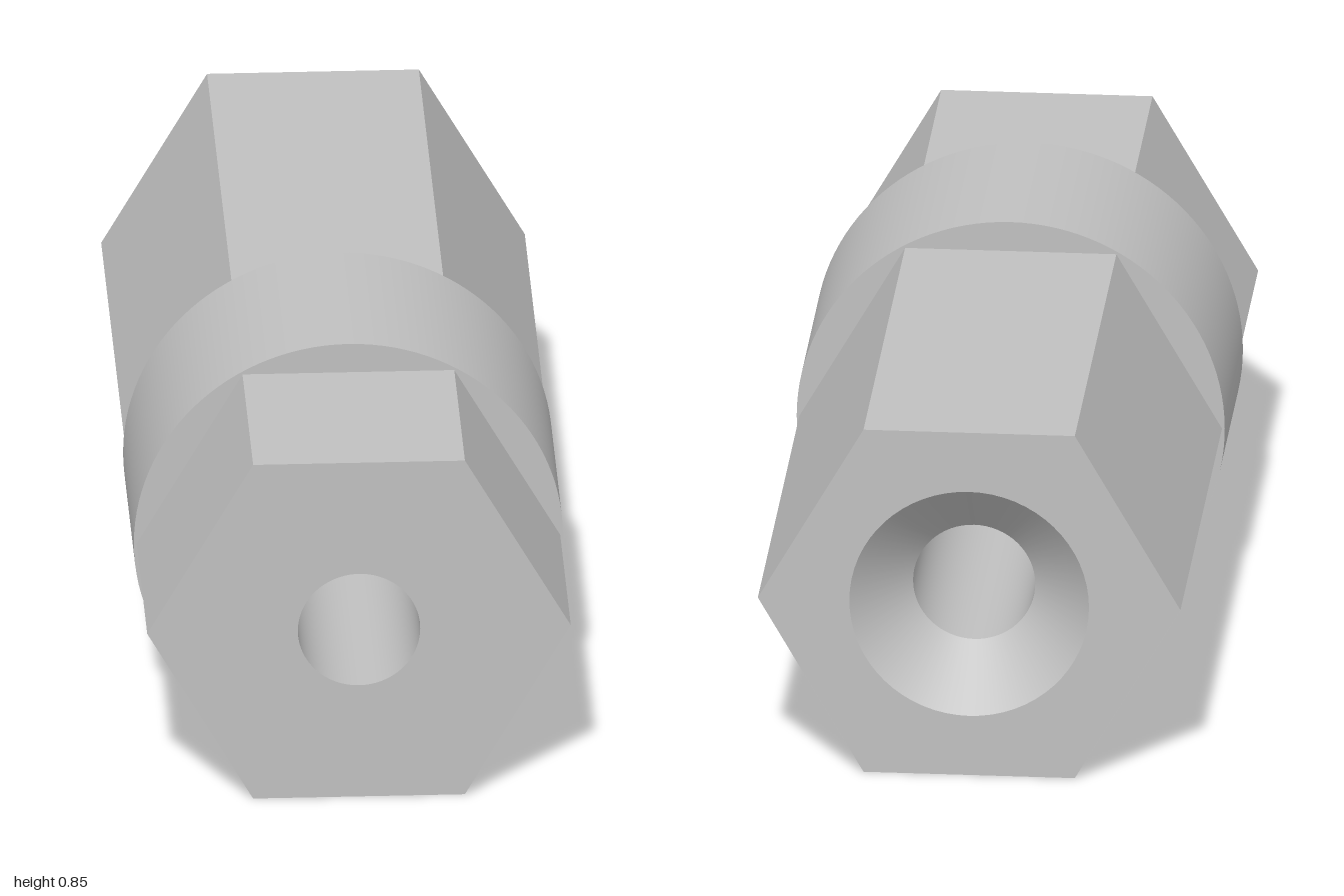
import * as THREE from 'three';

const HEX_R = 0.4532, APOTHEM = HEX_R * Math.cos(Math.PI / 6);
const COLLAR_R = 0.459, COLLAR_BACK = 0.07, COLLAR_FRONT = 0.537;
const BORE_R = 0.131, SINK_R = 0.257, SINK_DEPTH = 0.13;
const FLAT = Math.acos(APOTHEM / COLLAR_R); // half angle of the collar's flat underside

// Point on a circle, the angle counted from straight down
const polar = (r, a) => new THREE.Vector2(r * Math.sin(a), -r * Math.cos(a));
const hexPoints = Array.from({ length: 6 }, (_, i) => polar(HEX_R, Math.PI / 6 + i * Math.PI / 3));

export function createModel() {
  const model = new THREE.Group();
  model.name = 'hexSpacer';
  const metal = new THREE.MeshStandardMaterial({ color: 0xc0c0c0 });
  metal.name = 'grey metal';

  const body = new THREE.Group();
  body.name = 'body';
  body.position.y = APOTHEM;
  model.add(body);

  const add = (name, geometry, z = 0) => {
    const mesh = new THREE.Mesh(geometry, metal);
    mesh.name = name;
    mesh.position.z = z;
    body.add(mesh);
    return mesh;
  };

  // Six flat sides between two depths
  const hexSides = (name, z0, z1) => {
    const g = new THREE.CylinderGeometry(HEX_R, HEX_R, z1 - z0, 6, 1, true, Math.PI / 6)
      .rotateX(Math.PI / 2).toNonIndexed();
    g.computeVertexNormals();
    add(name, g, (z0 + z1) / 2);
  };
  hexSides('frontHexSides', COLLAR_FRONT, 1);
  hexSides('rearHexSides', -1, COLLAR_BACK);

  // Hexagonal end faces with round openings
  const endFace = (name, holeR, z) => {
    const shape = new THREE.Shape(hexPoints);
    shape.holes.push(new THREE.Path().absarc(0, 0, holeR, 0, Math.PI * 2, true));
    return add(name, new THREE.ShapeGeometry(shape, 64), z);
  };
  endFace('frontFace', BORE_R, 1);
  endFace('rearFace', SINK_R, -1).rotation.y = Math.PI;

  // Collar: round wall, flat underside, and a shoulder at each end
  const arc = Math.PI * 2 - 2 * FLAT;
  const collarLength = COLLAR_FRONT - COLLAR_BACK, collarMid = (COLLAR_FRONT + COLLAR_BACK) / 2;
  add('collarWall', new THREE.CylinderGeometry(COLLAR_R, COLLAR_R, collarLength, 96, 1, true, FLAT, arc)
    .rotateX(Math.PI / 2), collarMid);
  add('collarUnderside', new THREE.PlaneGeometry(2 * COLLAR_R * Math.sin(FLAT), collarLength)
    .rotateX(Math.PI / 2), collarMid).position.y = -APOTHEM;
  const rim = Array.from({ length: 97 }, (_, i) => polar(COLLAR_R, FLAT + arc * i / 96));
  const shoulder = new THREE.ShapeGeometry(new THREE.Shape([...rim, ...[...hexPoints].reverse()]));
  add('frontShoulder', shoulder, COLLAR_FRONT);
  add('rearShoulder', shoulder, COLLAR_BACK).rotation.y = Math.PI;

  // Inner walls run from front to back so that they face the axis
  const innerWall = (name, r0, z0, r1, z1) => add(name, new THREE.LatheGeometry(
    [new THREE.Vector2(r0, z0), new THREE.Vector2(r1, z1)], 64).rotateX(Math.PI / 2));
  innerWall('bore', BORE_R, 1, BORE_R, -1 + SINK_DEPTH);
  innerWall('countersink', BORE_R, -1 + SINK_DEPTH, SINK_R, -1);

  return model;
}
